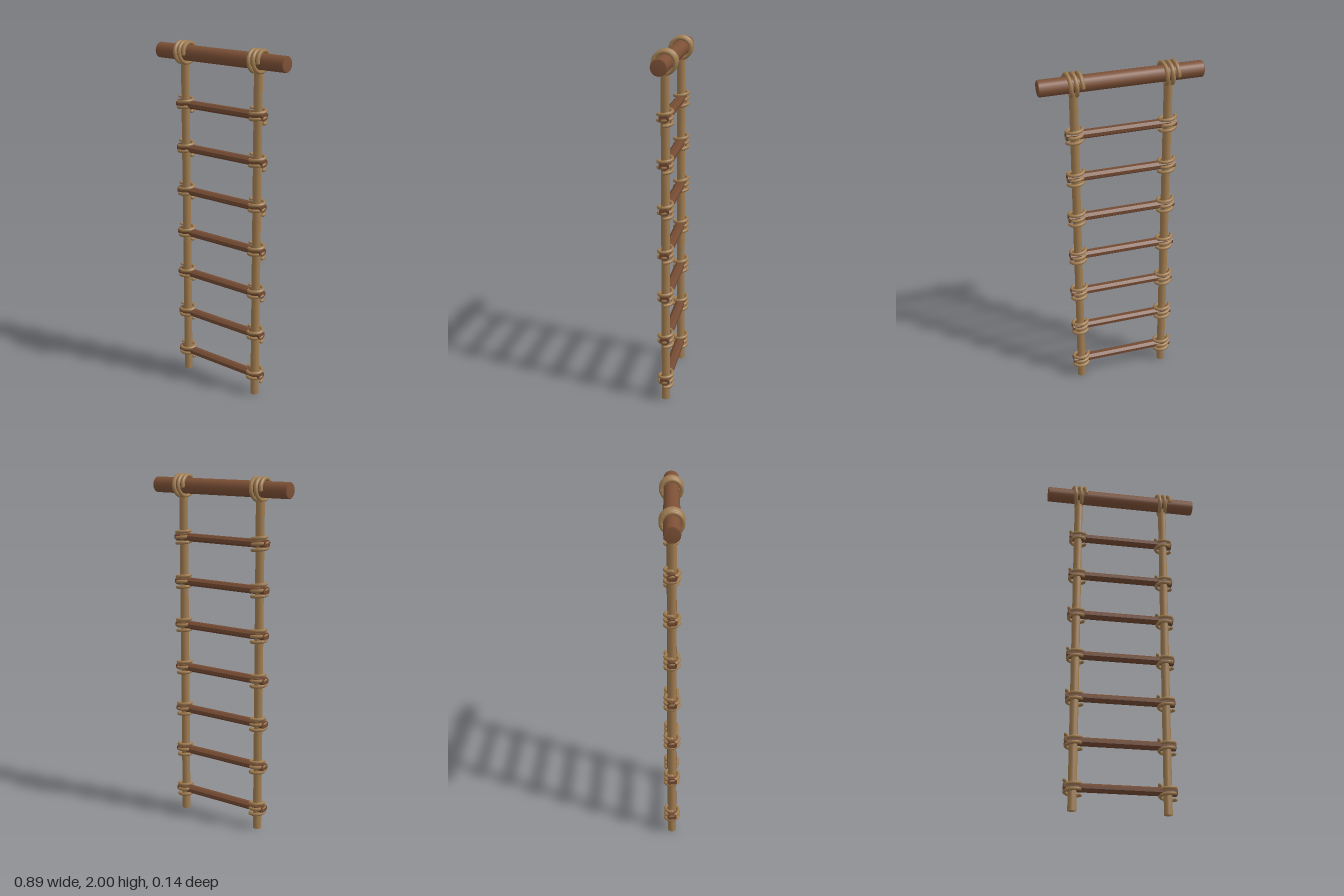
import * as THREE from 'three';
import { mergeVertices } from 'three/addons/utils/BufferGeometryUtils.js';

const material = (name, color) => {
  const m = new THREE.MeshStandardMaterial({ color });
  m.name = name;
  return m;
};

// A helix around the y axis with elliptical radii
class Helix extends THREE.Curve {
  constructor(rx, rz, height, turns) {
    super();
    Object.assign(this, { rx, rz, height, turns });
  }
  getPoint(t, target = new THREE.Vector3()) {
    const a = t * this.turns * Math.PI * 2;
    return target.set(this.rx * Math.cos(a), (t - 0.5) * this.height, -this.rz * Math.sin(a));
  }
}

// Rope coil with closed ends
function makeCoil(name, curve, radius, mat) {
  const coil = new THREE.Group();
  coil.name = name;
  coil.add(new THREE.Mesh(new THREE.TubeGeometry(curve, 64, radius, 8), mat));
  for (const t of [0, 1]) {
    const end = new THREE.Mesh(new THREE.SphereGeometry(radius, 8, 6), mat);
    end.position.copy(curve.getPoint(t));
    coil.add(end);
  }
  coil.children.forEach((m) => { m.name = name + 'Part'; });
  return coil;
}

export function createModel() {
  const model = new THREE.Group();
  model.name = 'ropeLadder';
  const rope = material('rope', 0xa07c50);
  const barWood = material('barWood', 0x7c5036);
  const rungWood = material('rungWood', 0x734a32);

  const add = (name, geometry, mat, x, y) => {
    const mesh = new THREE.Mesh(geometry, mat);
    mesh.name = name;
    mesh.position.set(x, y, 0);
    model.add(mesh);
    return mesh;
  };

  // Top bar with a small bevel at both ends
  const profile = [[0, -0.444], [0.039, -0.444], [0.044, -0.439], [0.044, 0.439], [0.039, 0.444], [0, 0.444]];
  let barGeometry = new THREE.LatheGeometry(profile.map(([r, y]) => new THREE.Vector2(r, y)), 16);
  barGeometry.rotateZ(-Math.PI / 2);
  add('topBar', barGeometry, barWood, 0, 1.932);

  // Side ropes, softly shaded over their ends
  let ropeGeometry = new THREE.CylinderGeometry(0.024, 0.024, 1.92, 12);
  ropeGeometry.deleteAttribute('normal');
  ropeGeometry.deleteAttribute('uv');
  ropeGeometry = mergeVertices(ropeGeometry);
  ropeGeometry.computeVertexNormals();
  for (const x of [-0.257, 0.257]) {
    add(x < 0 ? 'rightRope' : 'leftRope', ropeGeometry, rope, x, 0.96);

    // Winding that ties the rope to the top bar
    const winding = makeCoil('barWinding', new Helix(0.057, 0.057, 0.078, 2.5), 0.011, rope);
    winding.rotation.set(0, Math.PI / 2, -Math.PI / 2, 'ZYX');
    winding.position.set(x, 1.932, 0);
    model.add(winding);
  }

  // Faceted rungs, lying flat side up
  const rungGeometry = new THREE.CylinderGeometry(0.0235, 0.0235, 0.61, 8, 1).toNonIndexed();
  rungGeometry.rotateY(Math.PI / 8);
  rungGeometry.rotateZ(-Math.PI / 2);
  rungGeometry.scale(1, 1, 1.25);
  rungGeometry.computeVertexNormals();

  const lashingCurve = new Helix(0.043, 0.038, 0.078, 2.5);
  for (let i = 0; i < 7; i++) {
    const y = 0.125 + i * 0.2533;
    add('rung', rungGeometry, rungWood, 0, y);
    // Lashings around each crossing of rung and rope
    for (const x of [-0.257, 0.257]) {
      const lashing = makeCoil('rungLashing', lashingCurve, 0.0095, rope);
      lashing.position.set(x, y, 0);
      model.add(lashing);
    }
  }
  return model;
}
